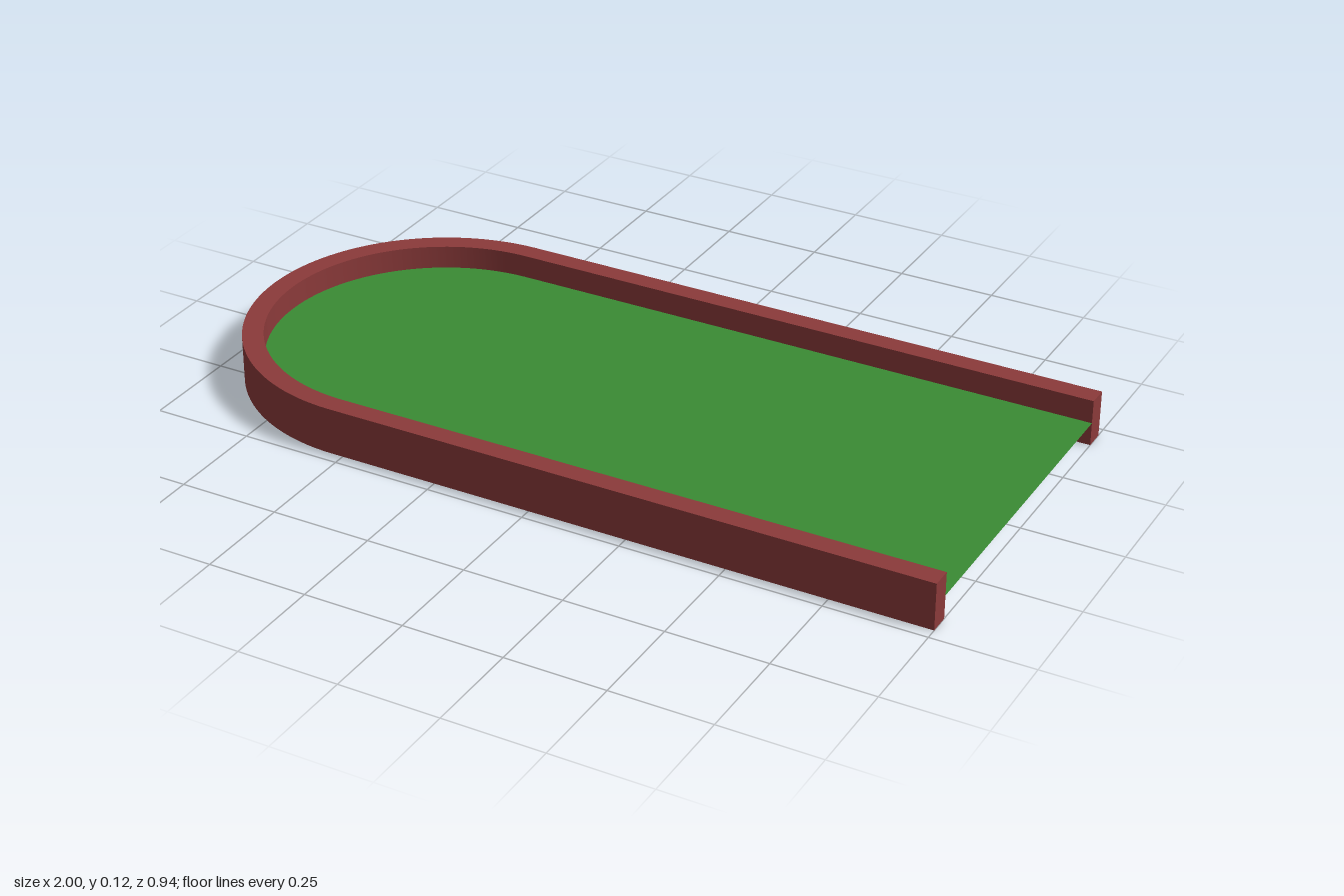
import * as THREE from 'three';
import { toCreasedNormals } from 'three/addons/utils/BufferGeometryUtils.js';

const OUTER = 0.47, INNER = 0.418, HEIGHT = 0.118;
const END_X = 1, ARC_X = -0.53; // open end and centre of the round end

export function createModel() {
  const group = new THREE.Group();

  // U-shaped border wall, drawn in plan and extruded upwards
  const wall = new THREE.Shape();
  wall.moveTo(END_X, OUTER);
  wall.lineTo(ARC_X, OUTER);
  wall.absarc(ARC_X, 0, OUTER, Math.PI / 2, Math.PI * 1.5, false);
  wall.lineTo(END_X, -OUTER);
  wall.lineTo(END_X, -INNER);
  wall.lineTo(ARC_X, -INNER);
  wall.absarc(ARC_X, 0, INNER, Math.PI * 1.5, Math.PI / 2, true);
  wall.lineTo(END_X, INNER);
  wall.closePath();
  const wallGeometry = new THREE.ExtrudeGeometry(wall, {
    depth: HEIGHT, bevelEnabled: false, curveSegments: 48,
  });
  wallGeometry.rotateX(-Math.PI / 2);
  const border = new THREE.Mesh(
    toCreasedNormals(wallGeometry, 0.5),
    new THREE.MeshStandardMaterial({ color: 0x8b3a3a }),
  );
  border.name = 'borderWall';
  group.add(border);

  // Thin floor sheet at half the wall height
  const sheet = new THREE.Shape();
  sheet.moveTo(END_X, INNER);
  sheet.lineTo(ARC_X, INNER);
  sheet.absarc(ARC_X, 0, INNER, Math.PI / 2, Math.PI * 1.5, false);
  sheet.lineTo(END_X, -INNER);
  sheet.closePath();
  const floorGeometry = new THREE.ShapeGeometry(sheet, 48);
  floorGeometry.rotateX(-Math.PI / 2);
  const floor = new THREE.Mesh(
    floorGeometry,
    new THREE.MeshStandardMaterial({ color: 0x3a8b34, side: THREE.DoubleSide }),
  );
  floor.position.y = HEIGHT / 2;
  floor.name = 'greenFloor';
  group.add(floor);

  return group;
}
